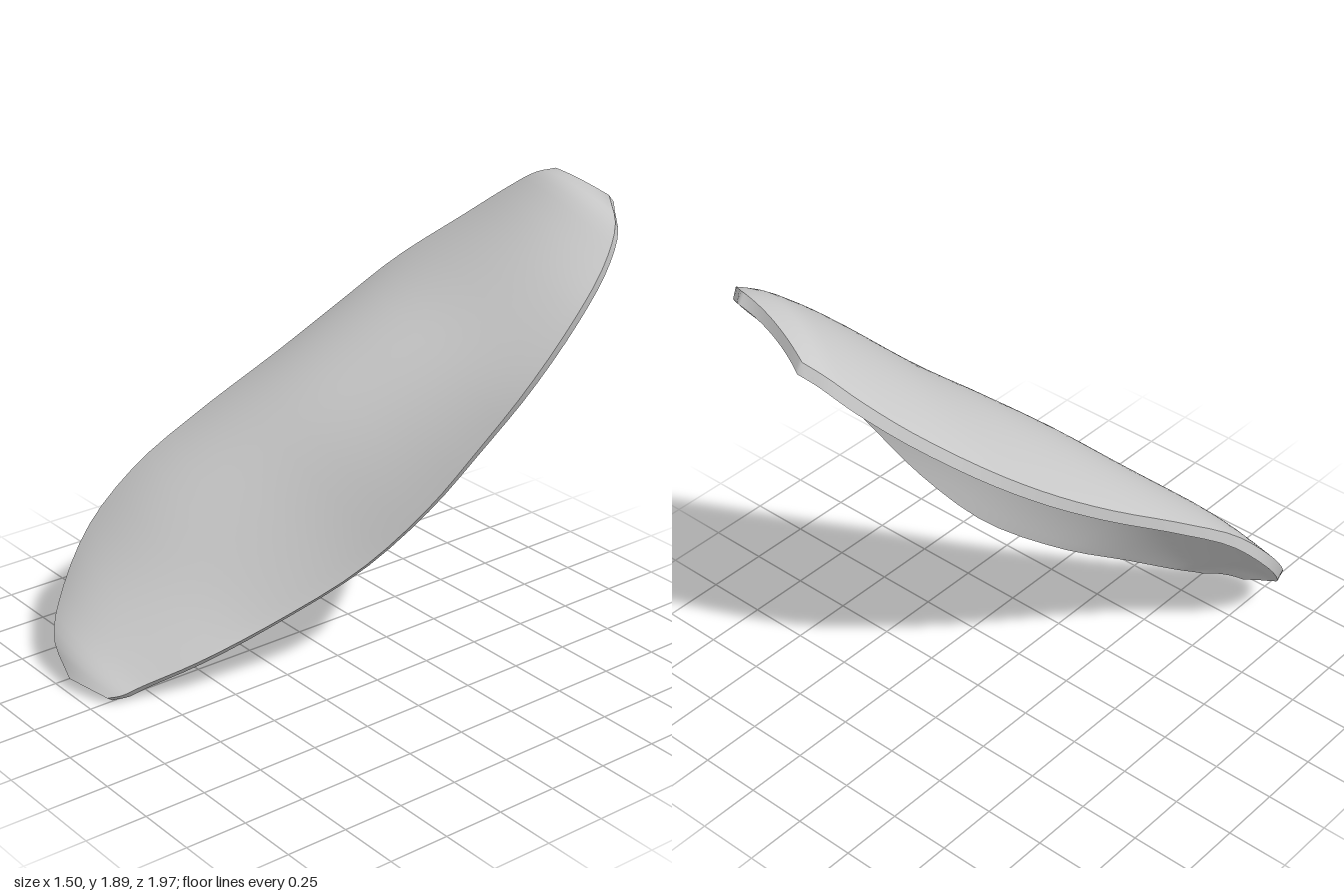
import * as THREE from 'three';

const ROWS = 40, COLS = 24, THICK = 0.045;

// Cross-sections from the low end to the high end: left edge, right edge, arch height
const SECTIONS = [
  [-0.42, 0.07, 0.985, -0.24, 0.045, 0.93, 0.01],
  [-0.58, 0.17, 0.95, -0.20, 0.06, 0.89, 0.035],
  [-0.685, 0.30, 0.84, -0.16, 0.095, 0.82, 0.06],
  [-0.75, 0.51, 0.66, -0.04, 0.19, 0.64, 0.10],
  [-0.715, 0.725, 0.45, 0.10, 0.335, 0.38, 0.165],
  [-0.645, 0.92, 0.17, 0.275, 0.54, 0.115, 0.23],
  [-0.56, 1.11, -0.13, 0.44, 0.795, -0.07, 0.263],
  [-0.48, 1.28, -0.37, 0.57, 1.05, -0.205, 0.238],
  [-0.375, 1.46, -0.59, 0.685, 1.305, -0.34, 0.188],
  [-0.20, 1.64, -0.78, 0.745, 1.555, -0.505, 0.157],
  [-0.06, 1.77, -0.89, 0.74, 1.72, -0.64, 0.127],
  [0.04, 1.845, -0.94, 0.69, 1.84, -0.74, 0.085],
  [0.13, 1.88, -0.965, 0.57, 1.91, -0.82, 0.02],
];

// Direction in which the sheet arches
const ARCH = new THREE.Vector3(0.17, 0.67, 0.73).normalize();

const curve = (pick) => new THREE.CatmullRomCurve3(
  SECTIONS.map((s) => new THREE.Vector3(...pick(s))));

function build(points, index) {
  const g = new THREE.BufferGeometry().setFromPoints(points);
  g.setIndex(index);
  g.computeVertexNormals();
  return g;
}

export function createModel() {
  const group = new THREE.Group();
  const grey = new THREE.MeshStandardMaterial({ color: 0xcccccc });
  grey.name = 'light grey';
  const add = (name, geometry) => {
    const mesh = new THREE.Mesh(geometry, grey);
    mesh.name = name;
    group.add(mesh);
  };
  const at = (i, j) => i * (COLS + 1) + j;

  // Domed front surface: a parabolic arch between the two edge curves
  const left = curve((s) => s.slice(0, 3));
  const right = curve((s) => s.slice(3, 6));
  const crest = curve((s) => [0, 1, 2].map(
    (k) => (s[k] + s[k + 3]) / 2 + s[6] * ARCH.getComponent(k)));
  const front = [];
  for (let i = 0; i <= ROWS; i++) {
    const t = i / ROWS;
    const L = left.getPoint(t), R = right.getPoint(t);
    const rise = crest.getPoint(t).sub(L.clone().lerp(R, 0.5));
    for (let j = 0; j <= COLS; j++) {
      const u = (j / COLS) * 2 - 1;
      front.push(L.clone().lerp(R, j / COLS).addScaledVector(rise, 1 - u * u));
    }
  }
  const faces = [], reversed = [];
  for (let i = 0; i < ROWS; i++) {
    for (let j = 0; j < COLS; j++) {
      const a = at(i, j), b = at(i, j + 1), c = at(i + 1, j + 1), d = at(i + 1, j);
      faces.push(a, b, c, a, c, d);
      reversed.push(a, c, b, a, d, c);
    }
  }
  const frontGeometry = build(front, faces);
  add('domedFront', frontGeometry);

  // Hollow back, offset between the surface normal and the arch direction
  const normals = frontGeometry.attributes.normal;
  const back = front.map((p, i) => {
    const direction = new THREE.Vector3().fromBufferAttribute(normals, i).add(ARCH).normalize();
    return p.clone().addScaledVector(direction, -THICK);
  });
  add('hollowBack', build(back, reversed));

  // Rim joining both surfaces around the boundary
  const loop = [];
  for (let j = 0; j < COLS; j++) loop.push(at(0, j));
  for (let i = 0; i < ROWS; i++) loop.push(at(i, COLS));
  for (let j = COLS; j > 0; j--) loop.push(at(ROWS, j));
  for (let i = ROWS; i > 0; i--) loop.push(at(i, 0));
  const n = loop.length, rim = [], rimFaces = [];
  loop.forEach((v, k) => {
    rim.push(front[v], back[v]);
    const p = 2 * k, q = 2 * ((k + 1) % n);
    rimFaces.push(p, p + 1, q + 1, p, q + 1, q);
  });
  add('rim', build(rim, rimFaces));

  return group;
}
